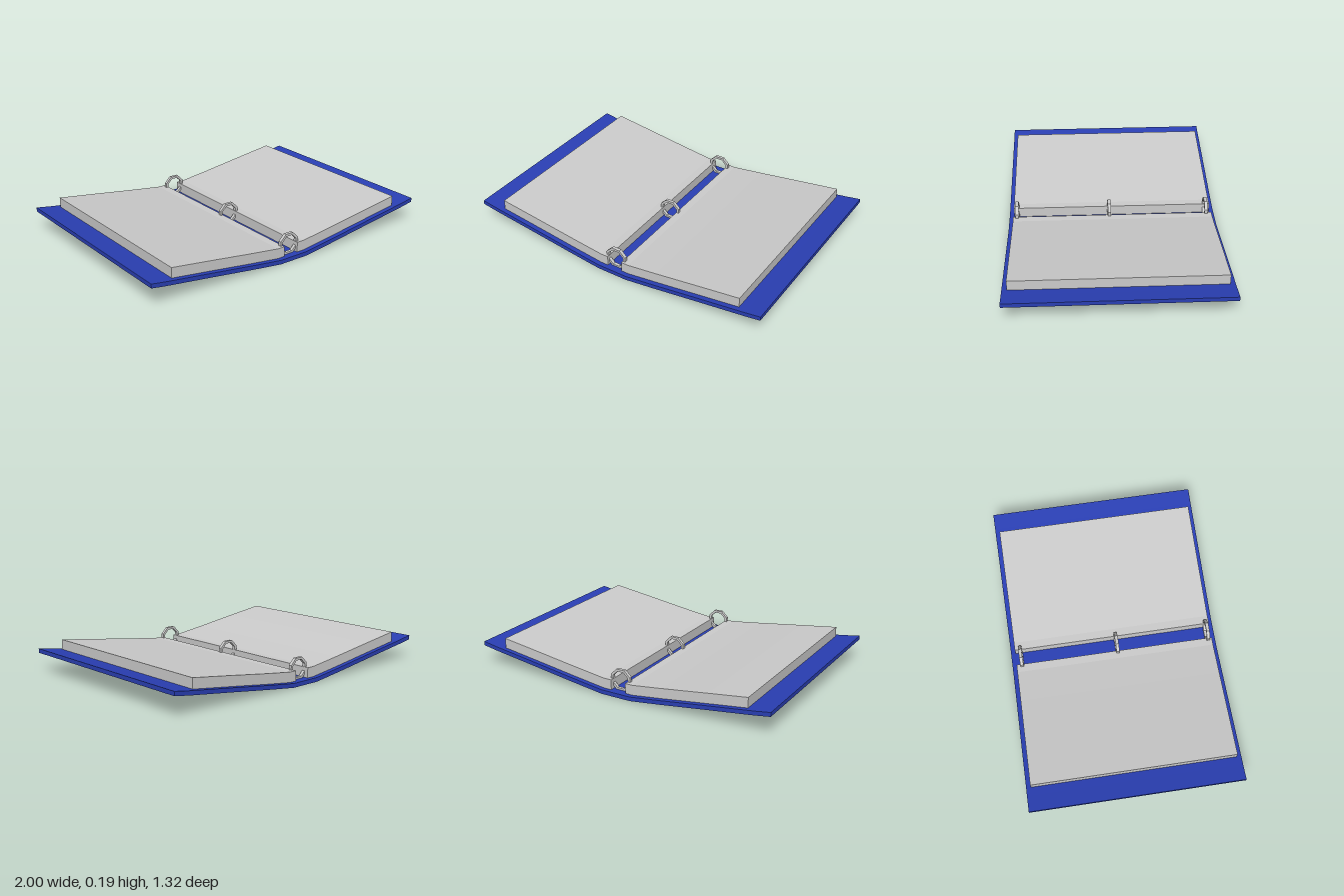
import * as THREE from 'three';

const grey = new THREE.MeshStandardMaterial({ color: 0xcccccc, flatShading: true });
const blue = new THREE.MeshStandardMaterial({ color: 0x2a3fb4, flatShading: true });

// Extrude a shape along z, centred on z = 0
function extrude(name, shape, depth, material) {
  const geometry = new THREE.ExtrudeGeometry(shape, { depth, bevelEnabled: false });
  geometry.translate(0, 0, -depth / 2);
  const mesh = new THREE.Mesh(geometry, material);
  mesh.name = name;
  return mesh;
}

// Strip of constant height above a lower line of [x, y] points running left to right
function strip(line, lift, height) {
  const lower = line.map(([x, y]) => new THREE.Vector2(x, y + lift));
  const upper = line.map(([x, y]) => new THREE.Vector2(x, y + lift + height)).reverse();
  return new THREE.Shape([...lower, ...upper]);
}

const mirrored = (line) => line.map(([x, y]) => [-x, y]).reverse();

function octagon(radius, y) {
  const points = [];
  for (let i = 0; i < 8; i++) {
    const a = (i + 0.5) * Math.PI / 4;
    points.push(new THREE.Vector2(radius * Math.cos(a), y + radius * Math.sin(a)));
  }
  return points;
}

export function createModel() {
  const model = new THREE.Group();
  model.name = 'ringBinder';

  // Cover opened out, with a flat spine and gently rising boards
  const thickness = 0.026;
  const board = [[0.1, 0], [0.2, 0.013], [0.3, 0.026], [0.6, 0.068], [0.9, 0.109], [1, 0.125]];
  model.add(extrude('cover', strip([...mirrored(board), ...board], 0, thickness), 1.32, blue));

  // Two stacks of sheets following the boards
  const sheetLine = [[0.05, 0], [0.1, 0], [0.2, 0.013], [0.3, 0.026], [0.6, 0.068], [0.85, 0.102]];
  const sheets = 4, sheetHeight = 0.0158;
  for (const [name, line] of [['leftPages', sheetLine], ['rightPages', mirrored(sheetLine)]]) {
    const stack = new THREE.Group();
    stack.name = name;
    for (let i = 0; i < sheets; i++) {
      const lift = thickness + i * sheetHeight;
      stack.add(extrude('sheet' + (i + 1), strip(line, lift, sheetHeight), 1.26, grey));
    }
    model.add(stack);
  }

  // Octagonal binder rings
  const ringShape = new THREE.Shape(octagon(0.072, 0.089));
  ringShape.holes.push(new THREE.Path(octagon(0.056, 0.089)));
  [-0.595, 0.02, 0.605].forEach((z, i) => {
    const ring = extrude('ring' + (i + 1), ringShape, 0.02, grey);
    ring.position.z = z;
    model.add(ring);
  });

  return model;
}
